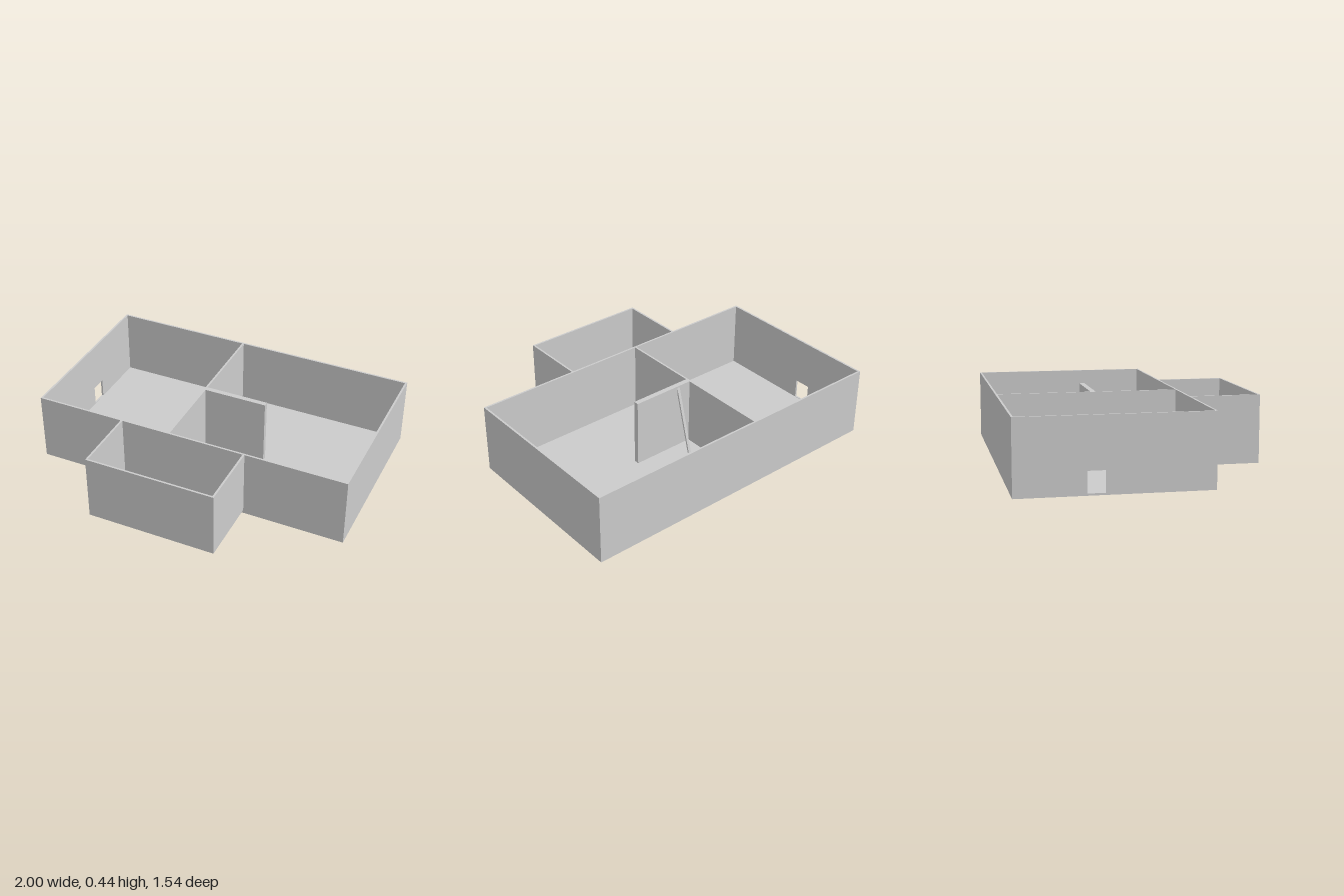
import * as THREE from 'three';

const material = new THREE.MeshStandardMaterial({ color: 0xcccccc, flatShading: true });
const TOP = 0.435, T = 0.012;
const X = 1, BACK = -0.77, FRONT = 0.345;

// Box given by its minimum and maximum on each axis
function block(name, [x0, x1], [y0, y1], [z0, z1]) {
  const mesh = new THREE.Mesh(new THREE.BoxGeometry(x1 - x0, y1 - y0, z1 - z0), material);
  mesh.name = name;
  mesh.position.set((x0 + x1) / 2, (y0 + y1) / 2, (z0 + z1) / 2);
  return mesh;
}

// Side wall with a small doorway, extruded through its thickness
function doorWall() {
  const shape = new THREE.Shape();
  shape.moveTo(-FRONT, 0).lineTo(-BACK, 0).lineTo(-BACK, TOP).lineTo(-FRONT, TOP).closePath();
  const door = new THREE.Path();
  door.moveTo(0.265, 0.012).lineTo(0.265, 0.135).lineTo(0.37, 0.135).lineTo(0.37, 0.012).closePath();
  shape.holes.push(door);
  const geometry = new THREE.ExtrudeGeometry(shape, { depth: T, bevelEnabled: false });
  geometry.rotateY(Math.PI / 2); // shape x becomes -z, depth becomes +x
  const mesh = new THREE.Mesh(geometry, material);
  mesh.name = 'rightWallWithDoorway';
  mesh.position.x = -X;
  return mesh;
}

export function createModel() {
  const model = new THREE.Group();
  model.name = 'roofless house';
  const full = [0, TOP];

  // Main building: floor and outer walls
  const house = new THREE.Group();
  house.name = 'mainBuilding';
  house.add(
    block('floor', [-X + T, X - T], [0, 0.01], [BACK + T, FRONT - T]),
    block('backWall', [-X + T, X - T], full, [BACK, BACK + T]),
    block('frontWall', [-X + T, X - T], full, [FRONT - T, FRONT]),
    block('leftWall', [X - T, X], full, [BACK, FRONT]),
    doorWall()
  );

  // Inner walls
  house.add(
    block('partition', [-0.128, -0.116], [0.01, TOP], [BACK + T, FRONT - T]),
    block('crossWall', [-0.116, 0.285], [0.01, TOP], [-0.195, -0.163])
  );

  // Narrow plank leaning against the cross wall
  const plankShape = new THREE.Shape();
  plankShape.moveTo(0.31, 0.01).lineTo(0.195, 0.425).lineTo(0.195, 0.385).lineTo(0.299, 0.01).closePath();
  const plankGeometry = new THREE.ExtrudeGeometry(plankShape, { depth: 0.018, bevelEnabled: false });
  plankGeometry.rotateY(Math.PI / 2);
  const plank = new THREE.Mesh(plankGeometry, material);
  plank.name = 'leaningPlank';
  plank.position.x = -0.038;
  house.add(plank);

  // Front room, raised slightly off the ground
  const annex = new THREE.Group();
  annex.name = 'frontRoom';
  const raised = [0.022, TOP];
  const [ax0, ax1, az] = [-0.44, 0.37, 0.768];
  annex.add(
    block('annexFloor', [ax0 + T, ax1 - T], [0.022, 0.032], [FRONT, az - T]),
    block('annexFrontWall', [ax0 + T, ax1 - T], raised, [az - T, az]),
    block('annexRightWall', [ax0, ax0 + T], raised, [FRONT, az]),
    block('annexLeftWall', [ax1 - T, ax1], raised, [FRONT, az])
  );

  model.add(house, annex);
  return model;
}
